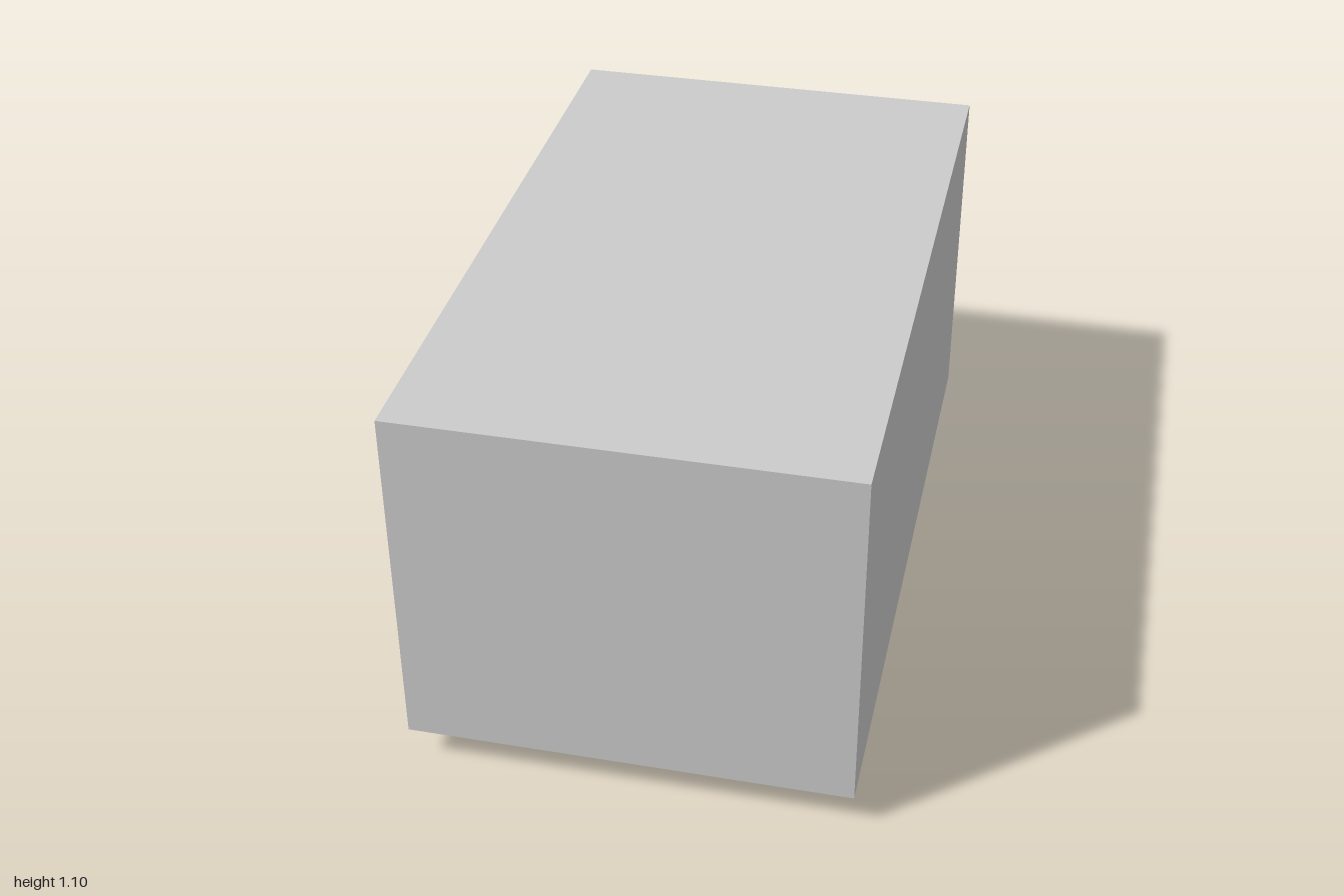
import * as THREE from 'three';

export function createModel() {
  const model = new THREE.Group();
  model.name = 'crateOnFeet';
  const material = new THREE.MeshStandardMaterial({ color: 0xcccccc, flatShading: true });

  // Main block
  const body = new THREE.Mesh(new THREE.BoxGeometry(1.2, 1, 2), material);
  body.name = 'body';
  body.position.y = 0.6;
  model.add(body);

  // Small cube feet under the block
  const footGeometry = new THREE.BoxGeometry(0.1, 0.1, 0.1);
  const addFoot = (name, x, z) => {
    const foot = new THREE.Mesh(footGeometry, material);
    foot.name = name;
    foot.position.set(x, 0.05, z);
    model.add(foot);
  };

  for (const side of [-1, 1]) {
    // Row of five along each long side
    for (let i = 0; i < 5; i++) addFoot('sideFoot', side * 0.45, -0.85 + i * 0.4);
    // Pair near the front edge
    addFoot('frontFoot', side * 0.15, 0.85);
  }
  return model;
}
